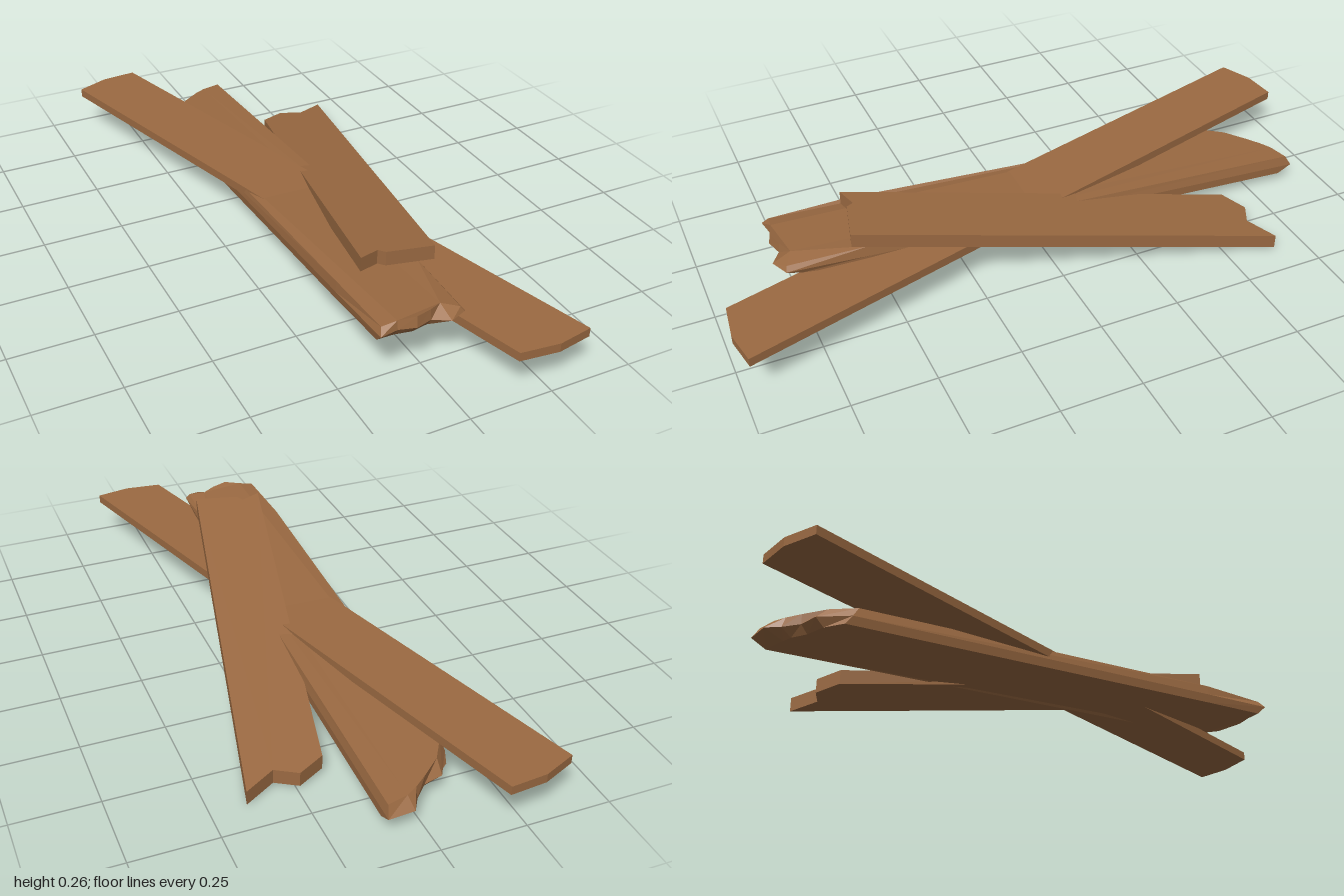
import * as THREE from 'three';

const wood = new THREE.MeshStandardMaterial({ color: 0x9b6a42, flatShading: true });
wood.name = 'brown wood';

// Stack matching outlines, listed from bottom to top, into a closed solid.
// Each outline runs counter-clockwise seen from above; points are [x, y, z].
function plank(name, layers) {
  const n = layers[0].length;
  const pos = layers.flat(2);
  const index = [];
  for (let l = 0; l < layers.length - 1; l++) {
    for (let i = 0; i < n; i++) {
      const j = (i + 1) % n;
      const a = l * n + i, b = l * n + j, c = a + n, d = b + n;
      index.push(a, b, d, a, d, c);
    }
  }
  const cap = (layer) => THREE.ShapeUtils.triangulateShape(
    layer.map(([x, , z]) => new THREE.Vector2(x, -z)), []);
  const top = (layers.length - 1) * n;
  for (const [a, b, c] of cap(layers[0])) index.push(a, c, b);
  for (const [a, b, c] of cap(layers[layers.length - 1])) index.push(top + a, top + b, top + c);

  const geo = new THREE.BufferGeometry();
  geo.setAttribute('position', new THREE.Float32BufferAttribute(pos, 3));
  geo.setIndex(index);
  const flat = geo.toNonIndexed();
  flat.computeVertexNormals();
  const mesh = new THREE.Mesh(flat, wood);
  mesh.name = name;
  return mesh;
}

// Lay a flat [x, z, lift] outline on the sloping plane y = h + sx * x + sz * z
const lay = (outline, h, sx, sz) =>
  outline.map(([x, z, lift = 0]) => [x, h + sx * x + sz * z + lift, z]);

export function createModel() {
  const group = new THREE.Group();
  group.name = 'plankPile';

  // Level plank with slightly rounded ends
  const level = [
    [0.148, 0.982], [0.265, 0.995], [0.372, 0.975],
    [-0.19, -1], [-0.3, -0.99], [-0.4, -0.947],
  ];
  group.add(plank('levelPlank', [lay(level, 0.122, 0, 0), lay(level, 0.149, 0, 0)]));

  // Leaning plank on top, with a notch in each end
  const leaning = [
    [-0.092, 0.572], [-0.03, 0.551], [-0.016, 0.574], [0.118, 0.606],
    [0.397, -0.655], [0.305, -0.608], [0.24, -0.643], [0.16, -0.605],
  ];
  group.add(plank('leaningPlank', [
    lay(leaning, 0.12, -0.028, 0.164), lay(leaning, 0.164, -0.028, 0.164),
  ]));

  // Thick lower plank with splintered ends: underside, middle and upper outlines
  const under = [
    [-0.15, 0.77], [-0.1, 0.77], [-0.05, 0.78], [0, 0.77], [0.045, 0.77, 0.004], [0.095, 0.75, 0.012],
    [0.103, 0.55], [0.103, -0.86],
    [0.03, -0.84], [0, -0.83], [-0.04, -0.8], [-0.1, -0.78], [-0.148, -0.74], [-0.152, 0.55],
  ];
  const middle = [
    [-0.155, 0.8], [-0.1, 0.79], [-0.05, 0.805], [0, 0.79], [0.045, 0.82], [0.1, 0.795],
    [0.104, 0.55], [0.104, -0.905],
    [0.025, -0.9], [0, -0.86], [-0.04, -0.82], [-0.1, -0.805], [-0.152, -0.72], [-0.156, 0.55],
  ];
  const upper = [
    [-0.145, 0.78, -0.012], [-0.1, 0.785, -0.004], [-0.05, 0.8, 0.002], [0, 0.785], [0.04, 0.765, -0.004],
    [0.088, 0.79, -0.016],
    [0.098, 0.55], [0.097, -0.885],
    [0.035, -0.87], [0, -0.85], [-0.04, -0.82], [-0.1, -0.77], [-0.145, -0.7], [-0.152, 0.55],
  ];
  group.add(plank('splinteredPlank', [
    lay(under, 0.092, 0, 0.068), lay(middle, 0.119, 0, 0.068), lay(upper, 0.15, 0, 0.068),
  ]));

  return group;
}
